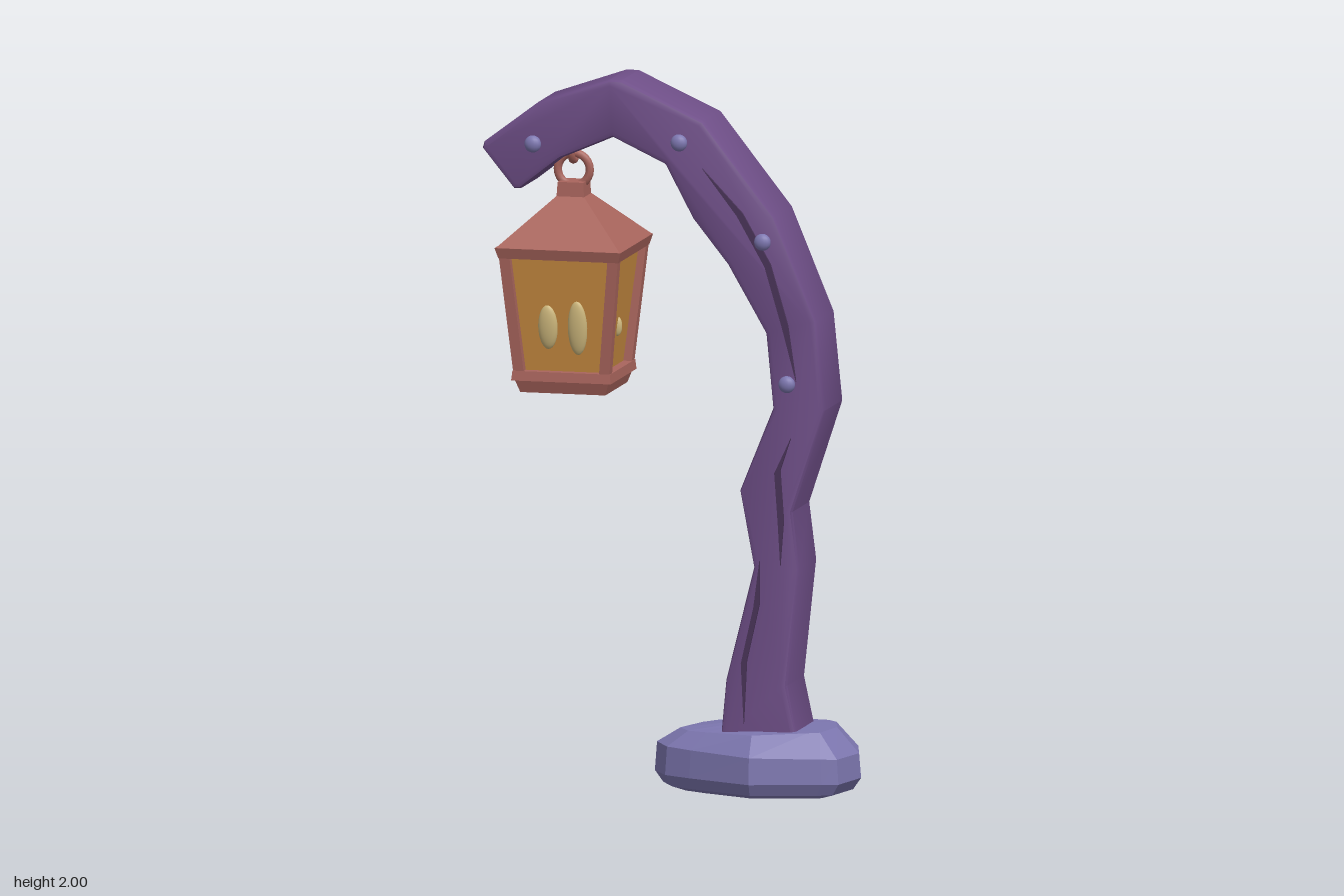
import * as THREE from 'three';
import { toCreasedNormals } from 'three/addons/utils/BufferGeometryUtils.js';

const paint = (name, color) => {
  const m = new THREE.MeshStandardMaterial({ color });
  m.name = name;
  return m;
};

// Faceted normals without touching the material
const facet = (geo) => {
  const g = geo.index ? geo.toNonIndexed() : geo;
  g.computeVertexNormals();
  return g;
};

// Square tapered block: half width hb at y0, ht at y1
const frustum = (hb, ht, y0, y1) => facet(
  new THREE.CylinderGeometry(ht * Math.SQRT2, hb * Math.SQRT2, y1 - y0, 4)
    .rotateY(Math.PI / 4).translate(0, (y0 + y1) / 2, 0));

// Closed loft through rings of [x, y, z] points
function loft(rings) {
  const n = rings[0].length, pos = rings.flat(2), idx = [];
  for (let r = 0; r < rings.length - 1; r++) {
    for (let i = 0; i < n; i++) {
      const a = r * n + i, b = r * n + (i + 1) % n;
      idx.push(a, a + n, b, b, a + n, b + n);
    }
  }
  const last = (rings.length - 1) * n;
  for (let i = 1; i < n - 1; i++) idx.push(0, i, i + 1, last, last + i + 1, last + i);
  const g = new THREE.BufferGeometry();
  g.setAttribute('position', new THREE.Float32BufferAttribute(pos, 3));
  g.setIndex(idx);
  return facet(g);
}

export function createModel() {
  const wood = paint('purple wood', 0x6f4f88);
  const crackMat = paint('dark purple', 0x4a3459);
  const stone = paint('blue stone', 0x7d77b0);
  const copper = paint('copper', 0xa9655d);
  const glass = paint('amber glass', 0xc68a40);
  const glow = paint('pale glow', 0xcdb77c);

  const model = new THREE.Group();
  model.name = 'lanternPost';
  const add = (parent, name, geo, mat, x = 0, y = 0, z = 0) => {
    const m = new THREE.Mesh(geo, mat);
    m.name = name;
    m.position.set(x, y, z);
    parent.add(m);
    return m;
  };

  // Stone base: one irregular outline scaled into rings, highest toward the right
  const outline = [[-0.06, 0.02], [-0.01, -0.11], [0.04, -0.165], [0.27, -0.22], [0.455, -0.16],
    [0.495, -0.115], [0.53, 0.01], [0.5, 0.145], [0.455, 0.16], [0.26, 0.215], [0.07, 0.14], [-0.01, 0.1]];
  const ring = (s, y, lift = 0) => outline.map(([x, z]) =>
    [0.24 + (x - 0.24) * s, y + lift * (x - 0.24), z * s]);
  add(model, 'stoneBase', loft([ring(0.78, 0), ring(0.92, 0.012), ring(1, 0.045), ring(0.98, 0.12, -0.02),
    ring(0.76, 0.176, 0.03), ring(0.4, 0.182)]), stone);

  // Crooked post and arm, outlined from the front
  const post = [[0.14, 0.1], [0.15, 0.16], [0.165, 0.32], [0.245, 0.64], [0.205, 0.855], [0.3, 1.09],
    [0.28, 1.3], [0.155, 1.49], [0, 1.765], [-0.16, 1.835], [-0.31, 1.77], [-0.425, 1.68], [-0.445, 1.68],
    [-0.535, 1.79], [-0.53, 1.808], [-0.375, 1.925], [-0.17, 1.996], [-0.135, 1.996], [0.1, 1.89],
    [0.305, 1.63], [0.425, 1.34], [0.45, 1.09], [0.355, 0.8], [0.375, 0.64], [0.34, 0.31], [0.385, 0.1]];
  // Underside of the arm follows a rounder bend
  post.splice(8, 1, [0.07, 1.615], [-0.01, 1.765]);
  post[7] = [0.17, 1.49];
  const toShape = (pts) => new THREE.Shape(pts.map(([x, y]) => new THREE.Vector2(x, y)));
  const bevel = 0.016;
  const postGeo = new THREE.ExtrudeGeometry(toShape([...post].reverse()), {
    depth: 0.215 - 2 * bevel, bevelEnabled: true, bevelThickness: bevel,
    bevelSize: bevel, bevelOffset: -bevel, bevelSegments: 2,
  }).translate(0, 0, -0.105 + bevel);
  add(model, 'post', toCreasedNormals(postGeo, 0.5), wood);

  // Bark cracks: slim tapering strips along the front
  const cracks = [
    [[0.1, 1.76], [0.2, 1.63], [0.28, 1.49], [0.33, 1.32], [0.37, 1.17]],
    [[0.355, 1.01], [0.308, 0.91], [0.318, 0.77], [0.325, 0.65]],
    [[0.265, 0.66], [0.248, 0.53], [0.212, 0.37], [0.22, 0.2]],
  ];
  cracks.forEach((path) => {
    const mid = path.slice(1, -1);
    const strip = [...path, ...mid.reverse().map(([x, y]) => [x + 0.017, y + 0.008])];
    add(model, 'barkCrack', new THREE.ExtrudeGeometry(toShape(strip),
      { depth: 0.009, bevelEnabled: false }), crackMat, 0, 0, 0.108);
  });

  // Domed studs
  [[-0.385, 1.81], [0.035, 1.83], [0.275, 1.56], [0.345, 1.162]].forEach(([x, y]) =>
    add(model, 'stud', new THREE.SphereGeometry(0.024, 16, 10).scale(1, 1, 0.7), stone, x, y, 0.12));

  // Lantern
  const lantern = new THREE.Group();
  lantern.name = 'lantern';
  lantern.position.set(-0.294, 0, 0.016);
  model.add(lantern);
  add(lantern, 'hook', new THREE.TorusGeometry(0.032, 0.011, 8, 18).rotateY(Math.PI / 2), copper, 0, 1.785);
  add(lantern, 'hangingRing', new THREE.TorusGeometry(0.046, 0.012, 8, 24), copper, 0, 1.727);
  add(lantern, 'cap', frustum(0.04, 0.037, 1.645, 1.695), copper);
  add(lantern, 'roof', frustum(0.178, 0.04, 1.525, 1.655), copper);
  add(lantern, 'eave', frustum(0.172, 0.181, 1.495, 1.525), copper);
  add(lantern, 'glassPanes', frustum(0.112, 0.15, 1.16, 1.5), glass);
  add(lantern, 'floorRim', frustum(0.143, 0.14, 1.148, 1.175), copper);
  add(lantern, 'floor', frustum(0.122, 0.135, 1.113, 1.15), copper);

  // Leaning corner bars
  for (const sx of [-1, 1]) for (const sz of [-1, 1]) {
    const bar = new THREE.BoxGeometry(0.03, 0.34, 0.03);
    const p = bar.attributes.position;
    for (let i = 0; i < p.count; i++) {
      const lean = 0.139 + p.getY(i) * 0.1;
      p.setX(i, p.getX(i) + sx * lean);
      p.setZ(i, p.getZ(i) + sz * lean);
    }
    add(lantern, 'cornerBar', facet(bar), copper, 0, 1.33, 0);
  }

  // Glowing ovals on the front pane, and a small glint on the left pane
  const oval = (name, rx, ry, x, y, z) =>
    add(lantern, name, new THREE.SphereGeometry(1, 20, 14).scale(rx, ry, 0.014), glow, x, y, z);
  [[-0.041, 0.063], [0.044, 0.077]].forEach(([x, ry]) => {
    oval('glowOval', 0.028, ry, x, 1.3, 0.128).rotation.x = 0.11;
  });
  oval('glint', 0.01, 0.028, 0.125, 1.29, 0).rotation.y = Math.PI / 2;

  return model;
}
